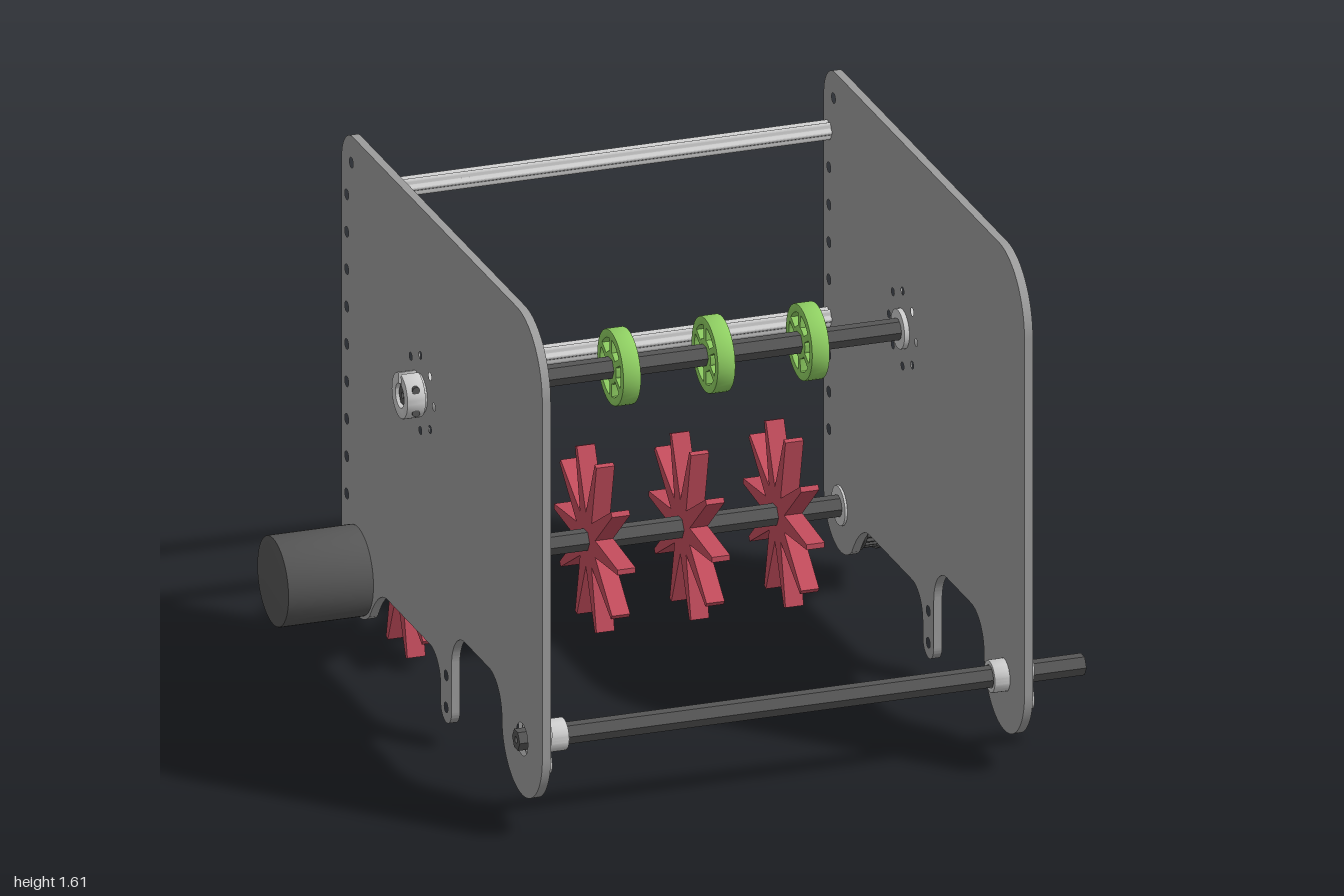
import * as THREE from 'three';
import { toCreasedNormals } from 'three/addons/utils/BufferGeometryUtils.js';

const mat = (color) => new THREE.MeshStandardMaterial({ color });
const grey = mat(0xcccccc), plateGrey = mat(0x9c9c9c), dark = mat(0x555555);
const green = mat(0x8fcf62), red = mat(0xc24c5c);
const PI = Math.PI;

// Closed outline from a radius rule r(angle), sampled n times
function polar(n, rule, Type = THREE.Shape) {
  const pts = [];
  for (let i = 0; i < n; i++) {
    const a = (i / n) * 2 * PI, r = rule(a, i);
    pts.push(new THREE.Vector2(r * Math.cos(a), r * Math.sin(a)));
  }
  return new Type(pts);
}
const circle = (r, n = 32) => polar(n, () => r);
function hole(shape, r, x = 0, y = 0, n = 20) {
  const path = new THREE.Path();
  for (let i = 0; i <= n; i++) {
    const a = (-i / n) * 2 * PI;
    path[i ? 'lineTo' : 'moveTo'](x + r * Math.cos(a), y + r * Math.sin(a));
  }
  shape.holes.push(path);
  return shape;
}
const ring = (ro, ri) => hole(circle(ro), ri, 0, 0, 32);

// Extrude a (z, y) profile along x from x0 to x1
function part(group, name, shape, x0, x1, y, z, material, bevel = 0) {
  let geo = new THREE.ExtrudeGeometry(shape, {
    depth: x1 - x0 - 2 * bevel, curveSegments: 20, bevelEnabled: bevel > 0,
    bevelSize: bevel, bevelThickness: bevel, bevelOffset: -bevel, bevelSegments: 2,
  });
  geo.translate(0, 0, -(x1 - x0) / 2 + bevel);
  geo.rotateY(-PI / 2);
  geo = toCreasedNormals(geo, 0.5);
  const mesh = new THREE.Mesh(geo, material);
  mesh.name = name;
  mesh.position.set((x0 + x1) / 2, y, z);
  group.add(mesh);
  return mesh;
}

const FRONT = [0.28, 0.76], MID = [1.033, -0.12], REAR = [0.273, -0.657]; // axle y, z

function sidePlate() {
  const s = new THREE.Shape();
  s.moveTo(0.935, 0.28);
  s.absarc(0.76, 0.28, 0.175, 0, -PI, true);
  s.absarc(0.47, 0.28, 0.115, 0, PI / 2, false);
  s.absarc(0.265, 0.28, 0.115, PI / 2, PI, false);
  s.absarc(0.1025, 0.13, 0.0475, 0, -PI, true);
  s.absarc(-0.04, 0.18, 0.095, 0, PI / 2, false);
  s.lineTo(-0.41, 0.275);
  s.quadraticCurveTo(-0.49, 0.27, -0.56, 0.162);
  s.absarc(-0.655, 0.275, 0.147, -0.87, -PI, true);
  s.absarc(-0.702, 1.515, 0.1, -PI, -1.5 * PI, true);
  s.absarc(0.715, 1.4, 0.22, PI / 2, 0, true);
  // Row of mounting holes, tab holes, axle holes
  for (let i = 0; i < 9; i++) hole(s, 0.016, -0.757, 1.415 - i * 0.1175);
  hole(s, 0.016, -0.717, 1.53);
  hole(s, 0.016, 0.1025, 0.13);
  hole(s, 0.016, 0.1025, 0.23);
  hole(s, 0.05, FRONT[1], FRONT[0]);
  hole(s, 0.05, MID[1], MID[0]);
  hole(s, 0.05, REAR[1], REAR[0]);
  for (let i = 0; i < 8; i++) {
    const a = (i * PI) / 4;
    hole(s, 0.012, MID[1] + 0.118 * Math.cos(a), MID[0] + 0.118 * Math.sin(a));
  }
  return s;
}

const hexShaft = () => hole(circle(0.033, 6), 0.01);
const pulley = (r, teeth) =>
  hole(polar(teeth * 4, (a, i) => (i % 4 < 2 ? r : r * 0.92)), 0.03);

// Tapered blades around a small core
function star() {
  const pts = [];
  for (let i = 0; i < 10; i++) {
    const a = (i * PI) / 5;
    for (const [r, d] of [[0.275, -0.03], [0.275, 0.03], [0.085, PI / 10]])
      pts.push(new THREE.Vector2(r * Math.cos(a + d), r * Math.sin(a + d)));
  }
  return hole(new THREE.Shape(pts), 0.03, 0, 0, 6);
}

// Spoked wheel with six sector openings
function spokedWheel() {
  const s = hole(circle(0.115, 40), 0.03, 0, 0, 6);
  for (let i = 0; i < 6; i++) {
    const a = (i * PI) / 3, p = new THREE.Path();
    p.absarc(0, 0, 0.088, a - 0.4, a + 0.4, false);
    p.absarc(0, 0, 0.05, a + 0.32, a - 0.32, true);
    p.closePath();
    s.holes.push(p);
  }
  return s;
}

// Split clamp collar with two screws
function collar(g, x0, x1, y, z) {
  const s = new THREE.Shape();
  s.absarc(0, 0, 0.07, PI / 2 + 0.12, 2.5 * PI - 0.12, false);
  s.absarc(0, 0, 0.036, 2.5 * PI - 0.23, PI / 2 + 0.23, true);
  s.closePath();
  part(g, 'clampCollar', s, x0, x1, y, z, grey, 0.004);
  for (const k of [-1, 1]) {
    const screw = new THREE.Mesh(new THREE.CylinderGeometry(0.012, 0.012, 0.05, 12), dark);
    screw.name = 'collarScrew';
    screw.rotation.x = PI / 2;
    screw.position.set((x0 + x1) / 2, y + k * 0.035, z + 0.04);
    g.add(screw);
  }
}

// Scalloped flange with six bolts, and its hub
function flangeHub(g, flangeX, hubX0, hubX1) {
  const [y, z] = FRONT;
  const s = polar(72, (a) => 0.117 - 0.013 * Math.cos(6 * a));
  hole(s, 0.034, 0, 0, 24);
  for (let i = 0; i < 6; i++) {
    const a = PI / 6 + (i * PI) / 3;
    hole(s, 0.014, 0.107 * Math.cos(a), 0.107 * Math.sin(a));
  }
  part(g, 'bearingFlange', s, flangeX, flangeX + 0.026, y, z, grey);
  part(g, 'flangeStep', ring(0.065, 0.034), flangeX - 0.004, flangeX + 0.034, y, z, grey);
  part(g, 'bearingHub', ring(0.049, 0.034), hubX0, hubX1, y, z, grey, 0.004);
}

export function createModel() {
  const g = new THREE.Group();
  g.name = 'intakeFrame';

  // Side plates
  part(g, 'rightPlate', sidePlate(), -0.735, -0.709, 0, 0, plateGrey);
  part(g, 'leftPlate', sidePlate(), 0.757, 0.783, 0, 0, plateGrey);

  // Lobed cross rails
  for (const y of [1.415, 0.827]) {
    const s = hole(polar(72, (a) => 0.026 + 0.004 * Math.cos(6 * a)), 0.014);
    part(g, 'crossRail', s, -0.709, 0.757, y, -0.759, grey);
  }

  // Front axle
  part(g, 'frontShaft', hexShaft(), -0.754, 1.0, ...FRONT, dark);
  flangeHub(g, -0.709, -0.72, -0.605);
  flangeHub(g, 0.783, 0.71, 0.785);

  // Middle axle with wheels
  part(g, 'middleShaft', hexShaft(), -0.79, 0.9, ...MID, dark);
  for (let i = 0; i < 4; i++) {
    const x = -0.412 + i * 0.292;
    part(g, 'wheel', spokedWheel(), x - 0.028, x + 0.028, ...MID, green, 0.004);
  }
  collar(g, -0.8, -0.742, ...MID);
  part(g, 'bearing', ring(0.06, 0.032), -0.742, -0.704, ...MID, grey);
  part(g, 'bearing', ring(0.06, 0.032), 0.742, 0.788, ...MID, grey);
  part(g, 'smallPulley', pulley(0.06, 18), 0.788, 0.85, ...MID, dark);
  collar(g, 0.85, 0.905, ...MID);

  // Rear axle with bladed rollers
  part(g, 'rearShaft', hexShaft(), -0.72, 0.957, ...REAR, dark);
  for (let i = 0; i < 5; i++) {
    const x = -0.588 + i * 0.2925;
    part(g, 'bladedRoller', star(), x - 0.028, x + 0.028, ...REAR, red);
  }
  part(g, 'bearing', ring(0.06, 0.032), 0.75, 0.79, ...REAR, grey);
  part(g, 'pulleyFlange', ring(0.138, 0.03), 0.789, 0.797, ...REAR, dark);
  part(g, 'largePulley', pulley(0.132, 36), 0.797, 0.848, ...REAR, dark);
  part(g, 'pulleyFlange', ring(0.138, 0.092), 0.848, 0.856, ...REAR, dark);
  part(g, 'pulleyHub', ring(0.09, 0.03), 0.84, 0.862, ...REAR, plateGrey);
  collar(g, 0.862, 0.915, ...REAR);

  // Motor
  part(g, 'motor', circle(0.136, 48), -1.0, -0.735, ...REAR, dark, 0.004);
  part(g, 'motorCap', circle(0.014, 20), -1.0, -0.99, ...REAR, grey);
  const box = new THREE.Mesh(new THREE.BoxGeometry(0.03, 0.05, 0.05), dark);
  box.name = 'motorTerminal';
  box.position.set(-0.75, 0.16, -0.765);
  box.rotation.x = PI / 4;
  g.add(box);
  return g;
}
